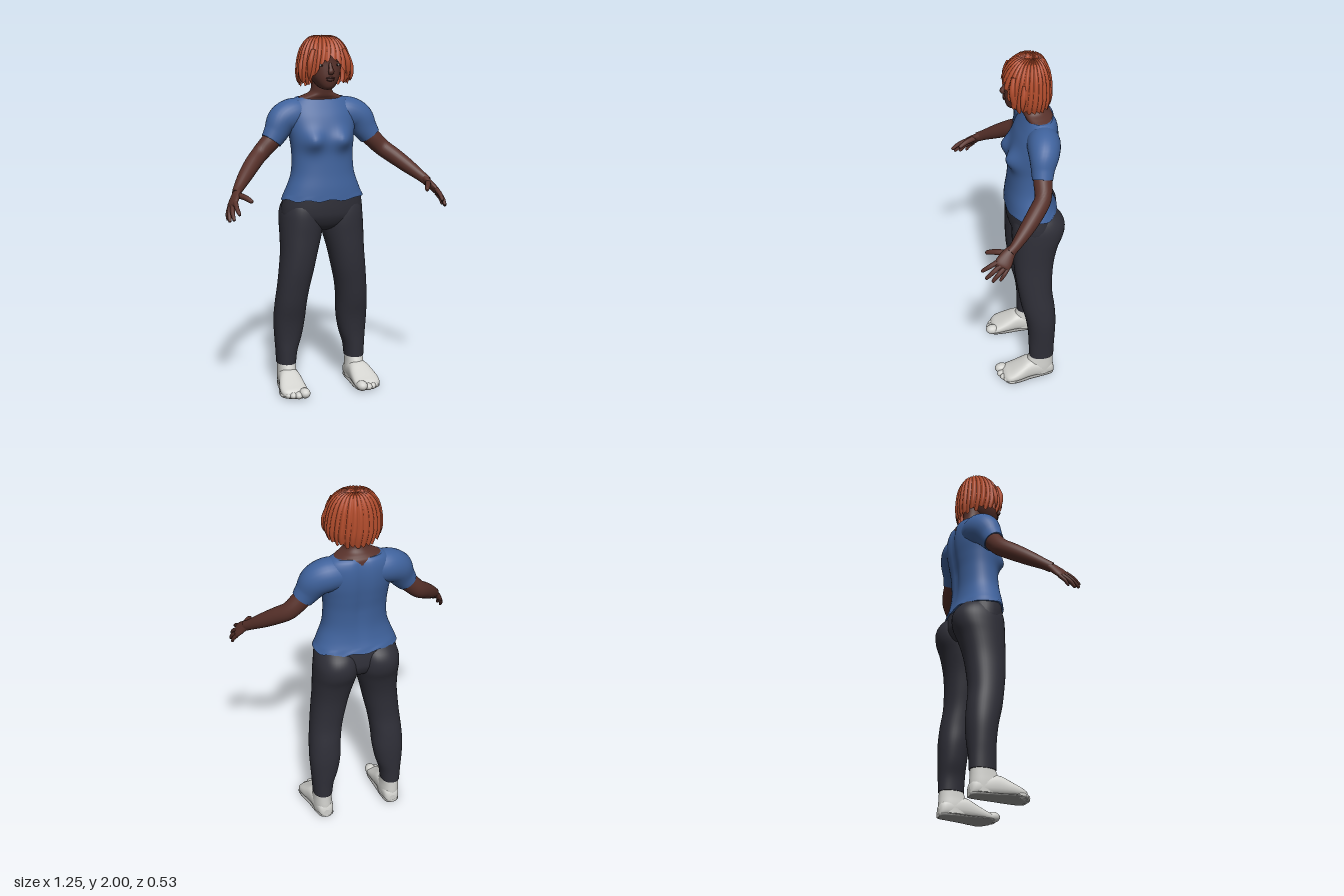
import * as THREE from 'three';

const mat = (name, color) => {
  const m = new THREE.MeshStandardMaterial({ color });
  m.name = name;
  return m;
};
const V = (x, y, z) => new THREE.Vector3(x, y, z);

// Resample rows of numbers (all the same length) with a Catmull-Rom spline
function smooth(rows, n) {
  const out = [];
  for (let k = 0; k <= n; k++) {
    const f = (k / n) * (rows.length - 1), i = Math.min(Math.floor(f), rows.length - 2), t = f - i;
    const at = j => rows[Math.max(0, Math.min(rows.length - 1, j))];
    out.push(rows[i].map((_, c) => {
      const [a, b, d, e] = [at(i - 1)[c], at(i)[c], at(i + 1)[c], at(i + 2)[c]];
      return b + 0.5 * t * (d - a + t * (2 * a - 5 * b + 4 * d - e + t * (3 * (b - d) + e - a)));
    }));
  }
  return out;
}

// Skin over superelliptic sections { c, u, v }, where u x v points along the loft
function loft(sections, sides = 32, power = 2) {
  const pos = [], idx = [];
  const bend = s => Math.sign(s) * Math.pow(Math.abs(s), 2 / power);
  const ring = ({ c, u, v }) => {
    for (let i = 0; i < sides; i++) {
      const a = (i / sides) * Math.PI * 2;
      const p = c.clone().addScaledVector(u, bend(Math.cos(a))).addScaledVector(v, bend(Math.sin(a)));
      pos.push(p.x, p.y, p.z);
    }
  };
  sections.forEach(ring);
  for (let j = 0; j < sections.length - 1; j++) for (let i = 0; i < sides; i++) {
    const a = j * sides + i, b = j * sides + (i + 1) % sides;
    idx.push(a, b, b + sides, a, b + sides, a + sides);
  }
  // End caps with their own vertices
  [sections[0], sections[sections.length - 1]].forEach((s, end) => {
    const base = pos.length / 3;
    ring(s);
    pos.push(s.c.x, s.c.y, s.c.z);
    for (let i = 0; i < sides; i++) {
      const a = base + i, b = base + (i + 1) % sides;
      idx.push(base + sides, end ? a : b, end ? b : a);
    }
  });
  const g = new THREE.BufferGeometry();
  g.setAttribute('position', new THREE.Float32BufferAttribute(pos, 3));
  g.setIndex(idx);
  g.computeVertexNormals();
  return g;
}

// Upright loft from rows [y, xMin, xMax, zBack, zFront]
const upright = (rows, n = 30, sides = 40, power = 2.2) => loft(smooth(rows, n).map(([y, a, b, zb, zf]) => ({
  c: V((a + b) / 2, y, (zb + zf) / 2), u: V(0, 0, (zf - zb) / 2), v: V((b - a) / 2, 0, 0),
})), sides, power);
const centred = rows => rows.map(([y, r, zb, zf]) => [y, -r, r, zb, zf]);

// Limb along points [x, y, z, thickness, optional width]; ref sets the width direction
function limb(points, n = 16, sides = 20, ref = V(0, 1, 0)) {
  const rows = smooth(points.map(([x, y, z, r, w = r]) => [x, y, z, r, w]), n), p = r => V(r[0], r[1], r[2]);
  return loft(rows.map((r, i) => {
    const t = p(rows[Math.min(i + 1, n)]).sub(p(rows[Math.max(i - 1, 0)])).normalize();
    const u = ref.clone().cross(t).normalize(), v = t.clone().cross(u);
    return { c: p(r), u: u.multiplyScalar(Math.max(r[3], 0.001)), v: v.multiplyScalar(Math.max(r[4], 0.001)) };
  }), sides);
}

function mirrored(geo) {
  const g = geo.clone().scale(-1, 1, 1), a = g.index.array;
  for (let i = 0; i < a.length; i += 3) [a[i], a[i + 1]] = [a[i + 1], a[i]];
  g.computeVertexNormals();
  return g;
}

function warp(geo, rule) {
  const p = geo.attributes.position, v = V(0, 0, 0);
  for (let i = 0; i < p.count; i++) {
    rule(v.fromBufferAttribute(p, i));
    p.setXYZ(i, v.x, v.y, v.z);
  }
  geo.computeVertexNormals();
  return geo;
}

// Bobbed hair: a dome of ridged locks with a jagged hem
function hairGeometry() {
  const profile = smooth([[0, 1.988], [0.3, 1.992], [0.56, 1.98], [0.79, 1.94], [0.93, 1.885], [0.99, 1.82], [0.97, 1.77], [0.84, 1.715]], 140);
  const around = 224, down = 22, locks = 28, pos = [], idx = [];
  for (let i = 0; i < around; i++) {
    const a = (i / around) * Math.PI * 2, f = Math.min(a, Math.PI * 2 - a);
    const k = (a / (Math.PI * 2)) * locks, ridge = Math.abs(Math.sin(k * Math.PI));
    const vary = Math.sin(Math.floor(k) * 2.7);
    let hem = f < 0.55 ? 1.905 - 0.07 * f / 0.55 : f < 0.8 ? 1.835 - 0.28 * (f - 0.55) : 1.765 - 0.015 * (f - 0.8);
    hem += 0.01 * vary - 0.014 * ridge;
    const end = profile.findIndex((r, j) => j > 30 && r[1] < hem);
    const last = end < 0 ? 140 : end;
    for (let j = 0; j <= down; j++) {
      const t = j / down, [r0, y] = profile[Math.round(t * last)];
      const r = r0 * (0.95 + (0.065 * ridge + 0.015 * vary) * Math.min(1, t * 2));
      const turn = a + 0.12 * Math.sin(t * 3);
      const lift = 0.008 * ridge * (1 - t) * Math.min(1, r0 * 4);
      pos.push(Math.sin(turn) * 0.153 * r, y + lift, -0.105 + 0.035 * Math.min(1, r0) + Math.cos(turn) * 0.133 * r);
    }
  }
  for (let i = 0; i < around; i++) for (let j = 0; j < down; j++) {
    const a = i * (down + 1) + j, b = ((i + 1) % around) * (down + 1) + j;
    idx.push(a, a + 1, b + 1);
    if (j > 0) idx.push(a, b + 1, b);
  }
  const g = new THREE.BufferGeometry();
  g.setAttribute('position', new THREE.Float32BufferAttribute(pos, 3));
  g.setIndex(idx);
  g.computeVertexNormals();
  return g;
}

export function createModel() {
  const root = new THREE.Group();
  root.name = 'standingWoman';
  const skin = mat('skin', 0x57312a), lip = mat('lips', 0x472420), shirt = mat('shirtBlue', 0x3f629c);
  const pants = mat('trouserCharcoal', 0x2f2f38), sock = mat('sockWhite', 0xd2d2ce), sole = mat('soleGrey', 0x9a9a98);
  const hair = mat('hairCopper', 0xb04b2b), white = mat('eyeWhite', 0xb8b4b0), dark = mat('darkBrown', 0x20120f);
  hair.side = THREE.DoubleSide;

  const add = (name, geo, m) => {
    const mesh = new THREE.Mesh(geo, m);
    mesh.name = name;
    root.add(mesh);
  };
  const pair = (name, geo, m) => {
    add(name + 'Left', geo, m);
    add(name + 'Right', mirrored(geo), m);
  };
  const blob = (x, y, z, a, b, c) => new THREE.SphereGeometry(1, 16, 12).scale(a, b, c).translate(x, y, z);

  // Shirt body with bust and a slightly wavy hem
  const body = upright(centred([
    [1.105, 0.236, -0.237, 0.045], [1.17, 0.207, -0.216, 0.04], [1.25, 0.18, -0.206, 0.03], [1.35, 0.174, -0.211, 0.022],
    [1.43, 0.181, -0.223, 0.02], [1.5, 0.192, -0.233, 0.008], [1.56, 0.195, -0.236, -0.012], [1.61, 0.185, -0.232, -0.038],
    [1.645, 0.16, -0.222, -0.058], [1.662, 0.135, -0.208, -0.068]]), 60, 56);
  add('shirt', warp(body, p => {
    const g = x => Math.exp(-(((p.x - x) / 0.055) ** 2) - ((p.y - 1.435) / 0.055) ** 2);
    if (p.z > -0.1) p.z += 0.042 * (g(0.085) + g(-0.085));
    else p.z += 0.014 * Math.exp(-((p.x / 0.03) ** 2)) * Math.min(1, (p.y - 1.1) * 4);
    if (p.y < 1.12) p.y += 0.006 * Math.sin(p.x * 45 + p.z * 30);
  }), shirt);
  pair('sleeve', limb([[0.08, 1.565, -0.14, 0.08, 0.085], [0.16, 1.565, -0.135, 0.088, 0.092], [0.222, 1.535, -0.125, 0.08, 0.088],
    [0.262, 1.475, -0.112, 0.062, 0.071], [0.292, 1.432, -0.105, 0.054, 0.06]], 24, 28), shirt);

  // Trousers
  add('trouserHips', upright(centred([[0.925, 0.03, -0.13, -0.04], [0.95, 0.15, -0.2, 0.0], [1.0, 0.225, -0.232, 0.028],
    [1.05, 0.234, -0.235, 0.036], [1.13, 0.22, -0.222, 0.036]])), pants);
  pair('trouserLeg', upright([
    [0.145, 0.153, 0.262, -0.204, -0.062], [0.22, 0.143, 0.266, -0.206, -0.06], [0.3, 0.118, 0.272, -0.211, -0.057],
    [0.4, 0.1, 0.277, -0.214, -0.044], [0.5, 0.094, 0.272, -0.207, -0.02], [0.6, 0.08, 0.262, -0.194, -0.003],
    [0.7, 0.058, 0.252, -0.196, 0.012], [0.8, 0.036, 0.243, -0.207, 0.02], [0.9, 0.01, 0.241, -0.232, 0.023],
    [0.97, -0.002, 0.24, -0.26, 0.025], [1.03, 0.0, 0.235, -0.266, 0.022], [1.08, 0.01, 0.218, -0.245, 0.01],
    [1.12, 0.03, 0.19, -0.2, -0.02]], 48), pants);

  // Feet with a grey sole rim and toes
  const foot = [[-0.206, 0.203, 0.02, 0.05], [-0.19, 0.203, 0.042, 0.085], [-0.13, 0.206, 0.054, 0.11], [-0.06, 0.211, 0.062, 0.122],
    [0.0, 0.217, 0.073, 0.093], [0.05, 0.219, 0.077, 0.066], [0.08, 0.214, 0.07, 0.052], [0.1, 0.2, 0.05, 0.036]];
  const footLoft = (height, grow) => loft(smooth(foot, 24).map(([z, x, r, h]) => ({
    c: V(x, height(h) / 2, z), u: V(r * grow, 0, 0), v: V(0, height(h) / 2, 0),
  })), 28, 2.5);
  pair('foot', footLoft(h => h, 1), sock);
  pair('sole', footLoft(() => 0.022, 1.02), sole);
  pair('ankle', upright([[0.02, 0.152, 0.258, -0.2, -0.03], [0.07, 0.152, 0.26, -0.202, -0.03],
    [0.11, 0.156, 0.258, -0.2, -0.048], [0.15, 0.158, 0.256, -0.198, -0.066]], 14), sock);
  [[0.172, 0.098, 0.031], [0.21, 0.1, 0.022], [0.238, 0.088, 0.021], [0.261, 0.071, 0.02], [0.28, 0.05, 0.018]].forEach(([x, z, r], i) =>
    pair('toe' + (i + 1), blob(x, r * 0.95, z, r, r * 0.92, r + 0.008), sock));

  // Arms and hands
  pair('arm', limb([[0.25, 1.475, -0.112, 0.05, 0.052], [0.3, 1.424, -0.105, 0.049, 0.052], [0.36, 1.365, -0.095, 0.044, 0.048],
    [0.415, 1.32, -0.05, 0.043, 0.046], [0.475, 1.267, 0.012, 0.038, 0.04], [0.53, 1.216, 0.075, 0.027, 0.03],
    [0.553, 1.192, 0.108, 0.022, 0.028]], 30, 24), skin);
  const across = V(0.3, -0.4, -0.75).normalize();
  pair('palm', limb([[0.54, 1.207, 0.09, 0.02, 0.024], [0.557, 1.185, 0.118, 0.02, 0.034], [0.578, 1.157, 0.143, 0.018, 0.043],
    [0.59, 1.14, 0.158, 0.014, 0.042], [0.596, 1.13, 0.165, 0.004, 0.034]], 14, 20, across), skin);
  const digits = {
    thumb: [[0.55, 1.188, 0.125], [0.524, 1.183, 0.178], [0.5, 1.167, 0.222]],
    indexFinger: [[0.576, 1.158, 0.18], [0.58, 1.135, 0.222], [0.576, 1.11, 0.258]],
    middleFinger: [[0.588, 1.142, 0.166], [0.6, 1.112, 0.207], [0.601, 1.08, 0.24]],
    ringFinger: [[0.597, 1.131, 0.148], [0.612, 1.1, 0.183], [0.616, 1.068, 0.209]],
    littleFinger: [[0.598, 1.125, 0.13], [0.613, 1.098, 0.152], [0.617, 1.07, 0.17]],
  };
  for (const [name, [a, b, c]] of Object.entries(digits)) {
    const r = name === 'thumb' ? 0.015 : name === 'littleFinger' ? 0.01 : 0.012;
    const tip = c.map((v, i) => v + (v - b[i]) * 0.06);
    pair(name, limb([[...a, r * 1.1], [...b, r], [...c, r * 0.7], [...tip, 0.001]], 14, 12), skin);
  }

  // Neck, shoulders and head
  add('neck', upright(centred([[1.63, 0.145, -0.215, -0.065], [1.655, 0.136, -0.21, -0.062], [1.672, 0.1, -0.195, -0.053],
    [1.69, 0.066, -0.175, -0.048], [1.72, 0.056, -0.162, -0.043], [1.78, 0.056, -0.16, -0.04]])), skin);
  add('head', upright(centred([[1.712, 0.018, -0.04, 0.012], [1.722, 0.038, -0.075, 0.03], [1.745, 0.058, -0.115, 0.04],
    [1.78, 0.077, -0.15, 0.044], [1.82, 0.088, -0.172, 0.042], [1.86, 0.094, -0.18, 0.038], [1.91, 0.093, -0.178, 0.036],
    [1.95, 0.07, -0.15, 0.0], [1.965, 0.03, -0.11, -0.05]])), skin);
  add('nose', limb([[0, 1.855, 0.035, 0.008], [0, 1.83, 0.047, 0.011], [0, 1.812, 0.055, 0.017, 0.013], [0, 1.8, 0.046, 0.012, 0.008]],
    12, 16, V(0, 0, 1)), skin);
  add('upperLip', blob(0, 1.777, 0.044, 0.026, 0.006, 0.009), lip);
  add('lowerLip', blob(0, 1.767, 0.043, 0.022, 0.007, 0.009), lip);
  pair('eye', blob(0.044, 1.846, 0.023, 0.015, 0.007, 0.008), white);
  pair('iris', blob(0.044, 1.846, 0.028, 0.006, 0.006, 0.005), dark);
  pair('eyebrow', blob(0.046, 1.866, 0.024, 0.02, 0.003, 0.006), dark);

  // Hair and loose locks beside the face
  add('hair', hairGeometry(), hair);
  pair('sideLock', limb([[0.085, 1.93, 0.01, 0.012], [0.107, 1.86, 0.02, 0.017], [0.106, 1.79, 0.012, 0.013], [0.09, 1.745, 0.0, 0.002]],
    14, 10, V(0, 0, 1)), hair);
  pair('outerLock', limb([[0.125, 1.9, -0.04, 0.012], [0.143, 1.84, -0.03, 0.015], [0.147, 1.79, -0.025, 0.01], [0.14, 1.755, -0.025, 0.002]],
    14, 10, V(0, 0, 1)), hair);
  return root;
}
